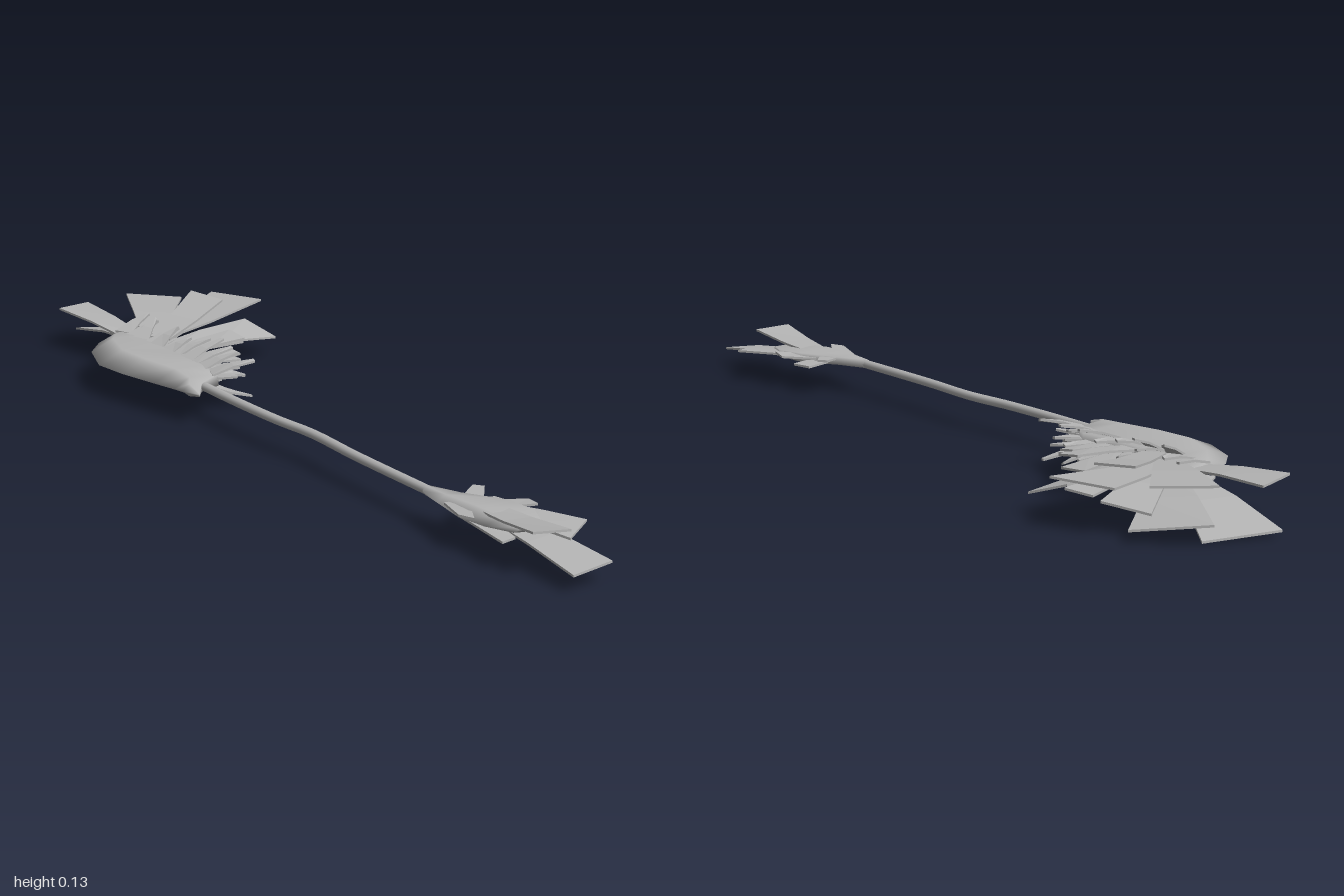
import * as THREE from 'three';

const steel = new THREE.MeshStandardMaterial({ color: 0xb4b4b4, side: THREE.DoubleSide });
steel.name = 'grey steel';
const MID = 0.072; // height of the weapon's centre plane

// Skin a list of equal rings of [x, y, z] points and close both ends.
function loft(name, rings, flat) {
  const n = rings[0].length, index = [];
  for (let i = 0; i < rings.length - 1; i++) {
    for (let j = 0; j < n; j++) {
      const a = i * n + j, b = i * n + (j + 1) % n;
      index.push(a, a + n, b + n, a, b + n, b);
    }
  }
  const last = (rings.length - 1) * n;
  for (let k = 1; k < n - 1; k++) {
    index.push(0, k, k + 1, last, last + k + 1, last + k);
  }
  let geo = new THREE.BufferGeometry();
  geo.setAttribute('position', new THREE.Float32BufferAttribute(rings.flat(2), 3));
  geo.setIndex(index);
  if (flat) geo = geo.toNonIndexed();
  geo.computeVertexNormals();
  const mesh = new THREE.Mesh(geo, steel);
  mesh.name = name;
  return mesh;
}

// Thin plate from a narrow base to an end edge between two corners.
function feather(name, base, width, c1, c2, bow = 0, thick = 0.005) {
  const p = new THREE.Vector3(...base);
  let e1 = new THREE.Vector3(...c1), e2 = new THREE.Vector3(...c2);
  const dir = e1.clone().add(e2).multiplyScalar(0.5).sub(p).setY(0).normalize();
  const side = new THREE.Vector3(0, 1, 0).cross(dir);
  if (e2.clone().sub(e1).dot(side) < 0) [e1, e2] = [e2, e1];
  const b1 = p.clone().addScaledVector(side, -width / 2);
  const b2 = p.clone().addScaledVector(side, width / 2);
  const rings = [0, 0.5, 1].map((t) => {
    const l = b1.clone().lerp(e1, t), r = b2.clone().lerp(e2, t);
    const lift = bow * 4 * t * (1 - t), h = thick / 2;
    return [[l.x, l.y + lift + h, l.z], [r.x, r.y + lift + h, r.z],
      [r.x, r.y + lift - h, r.z], [l.x, l.y + lift - h, l.z]];
  });
  return loft(name, rings, true);
}

// Lens-like section across x: sharp at the left, blunt at the right.
const section = ([z, x0, x1, h]) => [
  [x0, MID, z], [x0 + (x1 - x0) * 0.35, MID + h, z], [x1, MID + h * 0.7, z],
  [x1, MID - h * 0.7, z], [x0 + (x1 - x0) * 0.35, MID - h, z],
];

export function createModel() {
  const model = new THREE.Group();
  model.name = 'featheredPolearm';
  let seed = 7;
  const rnd = () => (seed = (seed * 16807) % 2147483647) / 2147483647;
  const vary = (a) => (rnd() * 2 - 1) * a;

  // Slightly crooked shaft
  const path = new THREE.CatmullRomCurve3([
    [-0.15, -0.36], [-0.152, -0.15], [-0.148, 0], [-0.138, 0.11], [-0.145, 0.28], [-0.147, 0.6],
  ].map(([x, z]) => new THREE.Vector3(x, MID, z)));
  const shaft = new THREE.Mesh(new THREE.TubeGeometry(path, 24, 0.0105, 8), steel);
  shaft.name = 'shaft';
  model.add(shaft);

  // Curved head with a sharp outer edge
  model.add(loft('headBlade', [
    [-0.725, -0.11, -0.02, 0.008], [-0.7, -0.175, -0.04, 0.016], [-0.65, -0.225, -0.06, 0.022],
    [-0.555, -0.262, -0.08, 0.025], [-0.47, -0.253, -0.08, 0.025], [-0.37, -0.231, -0.07, 0.024],
    [-0.31, -0.217, -0.1, 0.02], [-0.285, -0.21, -0.16, 0.014], [-0.24, -0.198, -0.194, 0.003],
  ].map(section)));

  // Large fan feathers: base, base width, end corners, bow
  const head = new THREE.Group();
  head.name = 'headFeathers';
  [
    [[-0.09, 0.075, -0.68], 0.05, [-0.153, 0.097, -0.915], [-0.06, 0.09, -0.94], 0.004],
    [[-0.07, 0.065, -0.68], 0.05, [-0.063, 0.013, -0.995], [0.095, 0.003, -0.94], 0.008],
    [[-0.06, 0.06, -0.66], 0.05, [0.095, 0.043, -0.975], [0.21, 0.026, -0.857], 0.005],
    [[-0.06, 0.085, -0.65], 0.05, [0.035, 0.1, -0.92], [0.135, 0.096, -0.83], 0.004],
    [[-0.08, 0.08, -0.63], 0.05, [0.21, 0.1, -0.815], [0.263, 0.105, -0.68], -0.004],
    [[-0.07, 0.07, -0.63], 0.05, [0.155, 0.05, -0.86], [0.2, 0.062, -0.76], 0.005],
    [[-0.07, 0.09, -0.6], 0.05, [0.13, 0.125, -0.78], [0.16, 0.119, -0.69], -0.003],
    [[-0.08, 0.07, -0.58], 0.05, [0.2, 0.074, -0.655], [0.23, 0.046, -0.57], 0.006],
    [[-0.08, 0.06, -0.57], 0.05, [0.13, 0.04, -0.65], [0.15, 0.045, -0.585], 0.002],
    [[-0.09, 0.08, -0.51], 0.05, [0.085, 0.095, -0.545], [0.09, 0.088, -0.49], 0.003],
    [[-0.09, 0.065, -0.48], 0.04, [0.055, 0.055, -0.53], [0.06, 0.05, -0.46], 0],
    [[-0.09, 0.075, -0.44], 0.04, [0.03, 0.082, -0.46], [0.035, 0.078, -0.425], 0],
    [[-0.09, 0.07, -0.4], 0.04, [0.0, 0.06, -0.42], [0.008, 0.06, -0.385], 0],
  ].forEach((f) => head.add(feather('fanFeather', ...f)));
  model.add(head);

  // Short spikes in three layers along the inner edge of the head
  const spikes = new THREE.Group();
  spikes.name = 'headSpikes';
  for (let layer = -1; layer <= 1; layer++) {
    for (let i = 0; i < 11; i++) {
      const t = i / 10, z = -0.7 + 0.37 * t + vary(0.01);
      const angle = 0.5 - 0.85 * t + vary(0.15), len = 0.09 + vary(0.02);
      const x = -0.11, y = MID + layer * 0.014;
      const tx = x + Math.cos(angle) * len, tz = z - Math.sin(angle) * len;
      const ty = y + layer * (0.014 + rnd() * 0.022);
      spikes.add(feather('spike', [x, y, z], 0.045,
        [tx, ty, tz - 0.004], [tx, ty + vary(0.004), tz + 0.004], layer * 0.004));
    }
  }
  model.add(spikes);

  // Small body at the other end of the shaft
  model.add(loft('tailBody', [
    [0.53, -0.159, -0.137, 0.01], [0.6, -0.175, -0.115, 0.013], [0.69, -0.19, -0.065, 0.015],
    [0.76, -0.18, -0.055, 0.011], [0.82, -0.155, -0.08, 0.004],
  ].map(section)));

  // Tail feathers
  const tail = new THREE.Group();
  tail.name = 'tailFeathers';
  [
    [[-0.11, 0.068, 0.7], 0.06, [-0.15, 0.038, 0.998], [-0.052, 0.045, 0.995], 0.004],
    [[-0.12, 0.078, 0.68], 0.05, [-0.175, 0.102, 0.905], [-0.095, 0.096, 0.922], -0.003],
    [[-0.1, 0.072, 0.68], 0.05, [-0.07, 0.062, 0.89], [0.008, 0.07, 0.845], 0.002],
    [[-0.15, 0.068, 0.65], 0.05, [-0.19, 0.062, 0.83], [-0.15, 0.06, 0.82], 0],
    [[-0.15, 0.076, 0.63], 0.05, [-0.198, 0.08, 0.7], [-0.185, 0.08, 0.735], 0],
    [[-0.1, 0.072, 0.67], 0.05, [-0.03, 0.08, 0.74], [-0.022, 0.076, 0.7], 0],
    [[-0.11, 0.068, 0.65], 0.05, [-0.035, 0.062, 0.67], [-0.045, 0.062, 0.62], 0],
    [[-0.12, 0.075, 0.64], 0.05, [-0.07, 0.08, 0.58], [-0.055, 0.08, 0.6], 0],
  ].forEach((f) => tail.add(feather('tailFeather', ...f)));
  model.add(tail);

  // Spikes by the shaft at the foot of the head
  [[-0.07, 0.08, -0.28], [-0.02, 0.062, -0.325], [-0.13, 0.06, -0.275]].forEach(([x, y, z]) => {
    spikes.add(feather('spike', [x - 0.05, MID, z - 0.07], 0.05, [x, y, z], [x + 0.006, y, z - 0.005]));
  });
  return model;
}
